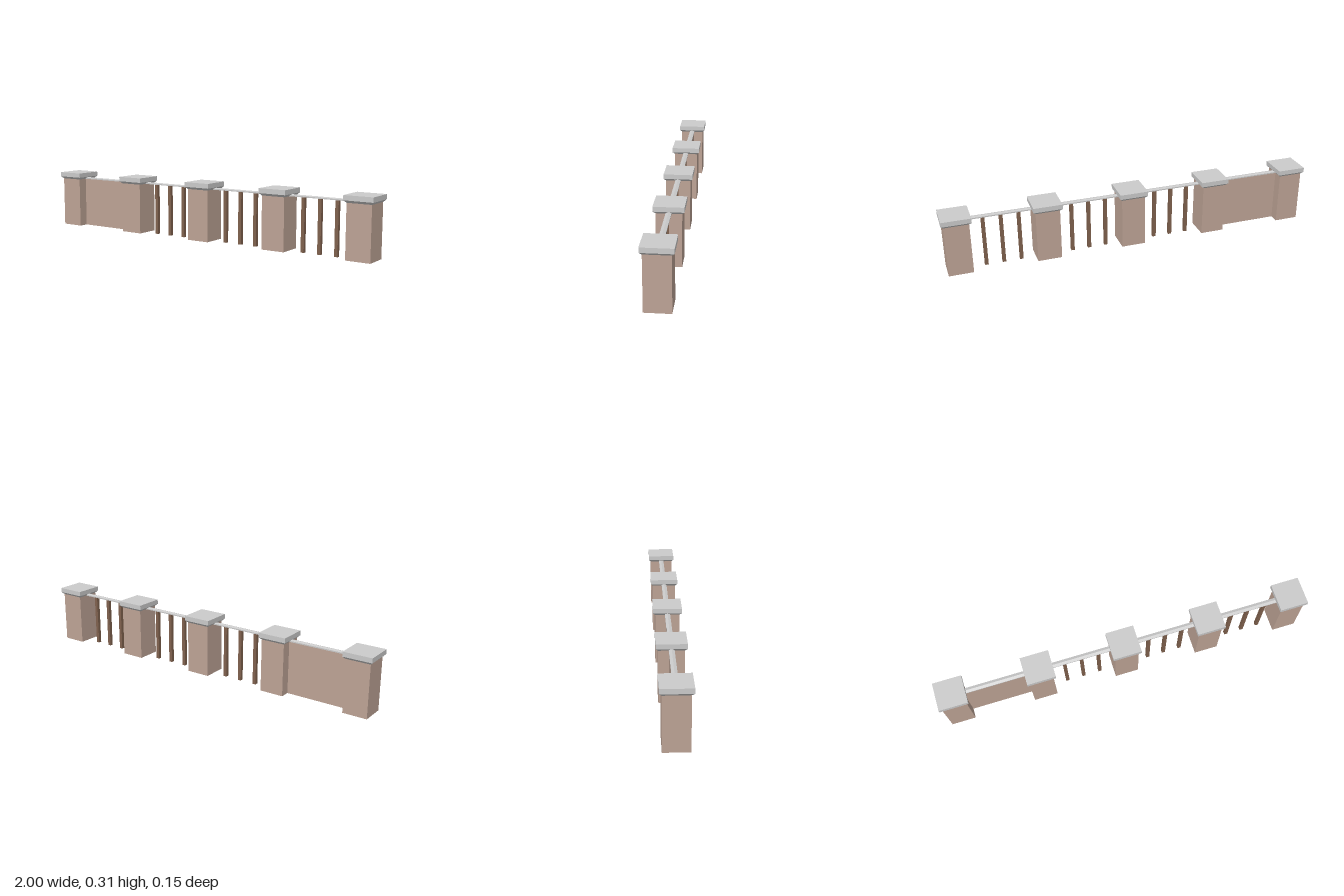
import * as THREE from 'three';

const brick = new THREE.MeshStandardMaterial({ color: 0xbea496, flatShading: true, side: THREE.DoubleSide });
const wood = new THREE.MeshStandardMaterial({ color: 0x80624e, flatShading: true });
const stone = new THREE.MeshStandardMaterial({ color: 0xcccccc, flatShading: true });

// Square frustum aligned to the axes, standing on y = 0
function frustum(bottom, top, height, open = false) {
  const geo = new THREE.CylinderGeometry(top * Math.SQRT1_2, bottom * Math.SQRT1_2, height, 4, 1, open);
  return geo.rotateY(Math.PI / 4).translate(0, height / 2, 0);
}

function add(parent, name, geo, mat, x = 0, y = 0, z = 0) {
  const mesh = new THREE.Mesh(geo, mat);
  mesh.name = name;
  mesh.position.set(x, y, z);
  parent.add(mesh);
  return mesh;
}

export function createModel() {
  const fence = new THREE.Group();
  fence.name = 'fence';

  const spacing = 0.462, pillarWidth = 0.128, capWidth = 0.152;
  const bodyTop = 0.278, bayWidth = spacing - pillarWidth;

  // Hollow pillars with a flared stone cap
  const shaftGeo = frustum(pillarWidth, pillarWidth, bodyTop - 0.002, true);
  const flareGeo = frustum(pillarWidth, capWidth, 0.012);
  const slabGeo = new THREE.BoxGeometry(capWidth, 0.025, capWidth);
  for (let i = -2; i <= 2; i++) {
    const pillar = new THREE.Group();
    pillar.name = 'pillar';
    pillar.position.x = i * spacing;
    add(pillar, 'pillarShaft', shaftGeo, brick, 0, 0.002);
    add(pillar, 'capFlare', flareGeo, stone, 0, bodyTop);
    add(pillar, 'capSlab', slabGeo, stone, 0, 0.3025);
    fence.add(pillar);
  }

  // Coping rail with a low ridge, one length per bay
  const profile = new THREE.Shape([
    [-0.014, 0], [0.014, 0], [0.014, 0.006], [0, 0.01], [-0.014, 0.006],
  ].map(([z, y]) => new THREE.Vector2(z, y)));
  const railGeo = new THREE.ExtrudeGeometry(profile, { depth: bayWidth, bevelEnabled: false })
    .translate(0, 0, -bayWidth / 2).rotateY(Math.PI / 2);
  const balusterGeo = new THREE.BoxGeometry(0.018, bodyTop, 0.018);

  for (let bay = 0; bay < 4; bay++) {
    const x = (bay - 1.5) * spacing;
    add(fence, 'rail', railGeo, stone, x, bodyTop);
    if (bay === 0) {
      // Solid bay: thin wall, open underneath
      const wall = add(fence, 'wallPanel', frustum(1, 1, bodyTop - 0.002, true), brick, x, 0.002);
      wall.scale.set(bayWidth, 1, 0.024);
    } else {
      // Open bay: three square balusters
      for (let i = -1; i <= 1; i++) {
        add(fence, 'baluster', balusterGeo, wood, x + i * 0.092, bodyTop / 2);
      }
    }
  }
  return fence;
}
